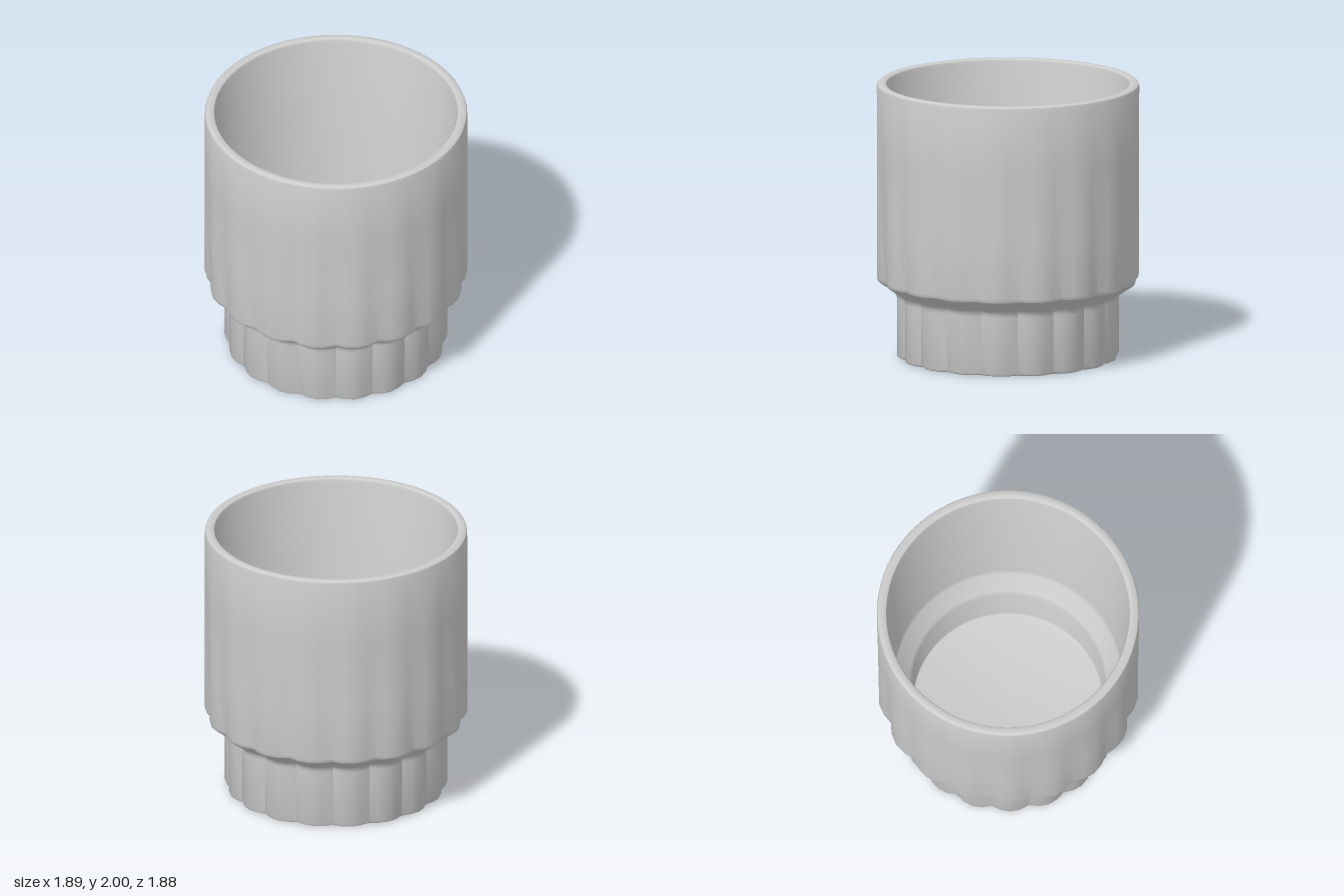
import * as THREE from 'three';
import { mergeVertices, toCreasedNormals } from 'three/addons/utils/BufferGeometryUtils.js';

const LOBES = 18;
const STEPS = 4; // segments per lobe

// Lathe a [radius, height, fluteDepth] profile, then press flutes into it.
function flutedLathe(profile) {
  const points = profile.map(([r, y]) => new THREE.Vector2(r, y));
  const geo = new THREE.LatheGeometry(points, LOBES * STEPS);
  const pos = geo.attributes.position;
  for (let i = 0; i < pos.count; i++) {
    const [r, y, depth] = profile[i % profile.length];
    const phi = (Math.floor(i / profile.length) / (LOBES * STEPS)) * Math.PI * 2;
    const radius = r - depth * (1 - Math.abs(Math.sin((phi * LOBES) / 2)));
    pos.setXYZ(i, radius * Math.sin(phi), y, radius * Math.cos(phi));
  }
  geo.deleteAttribute('normal');
  geo.deleteAttribute('uv');
  return toCreasedNormals(mergeVertices(geo, 1e-4), 0.6);
}

export function createModel() {
  const group = new THREE.Group();
  const material = new THREE.MeshStandardMaterial({ color: 0xcccccc });

  const profile = [
    // underside with a shallow recess
    [0, 0.015, 0], [0.54, 0.015, 0], [0.555, 0, 0], [0.78, 0, 0.035],
    // fluted foot
    [0.793, 0.006, 0.035], [0.8, 0.022, 0.035], [0.8, 0.43, 0.035],
    // flared shoulder
    [0.803, 0.455, 0.035], [0.82, 0.48, 0.037], [0.925, 0.552, 0.04], [0.938, 0.565, 0.04], [0.943, 0.59, 0.04],
    // body, flutes fading out towards the rim
    [0.943, 1.0, 0.028], [0.943, 1.5, 0.014], [0.942, 1.975, 0],
    // rounded rim
    [0.937, 1.99, 0], [0.922, 2, 0], [0.89, 2, 0], [0.875, 1.992, 0], [0.868, 1.975, 0],
    // plain inner wall, stepped in above the foot
    [0.82, 0.64, 0], [0.81, 0.6, 0], [0.71, 0.51, 0], [0.692, 0.47, 0],
    [0.688, 0.13, 0], [0.68, 0.108, 0], [0.66, 0.1, 0], [0, 0.1, 0],
  ];

  const cup = new THREE.Mesh(flutedLathe(profile), material);
  cup.name = 'flutedCup';
  group.add(cup);
  return group;
}
